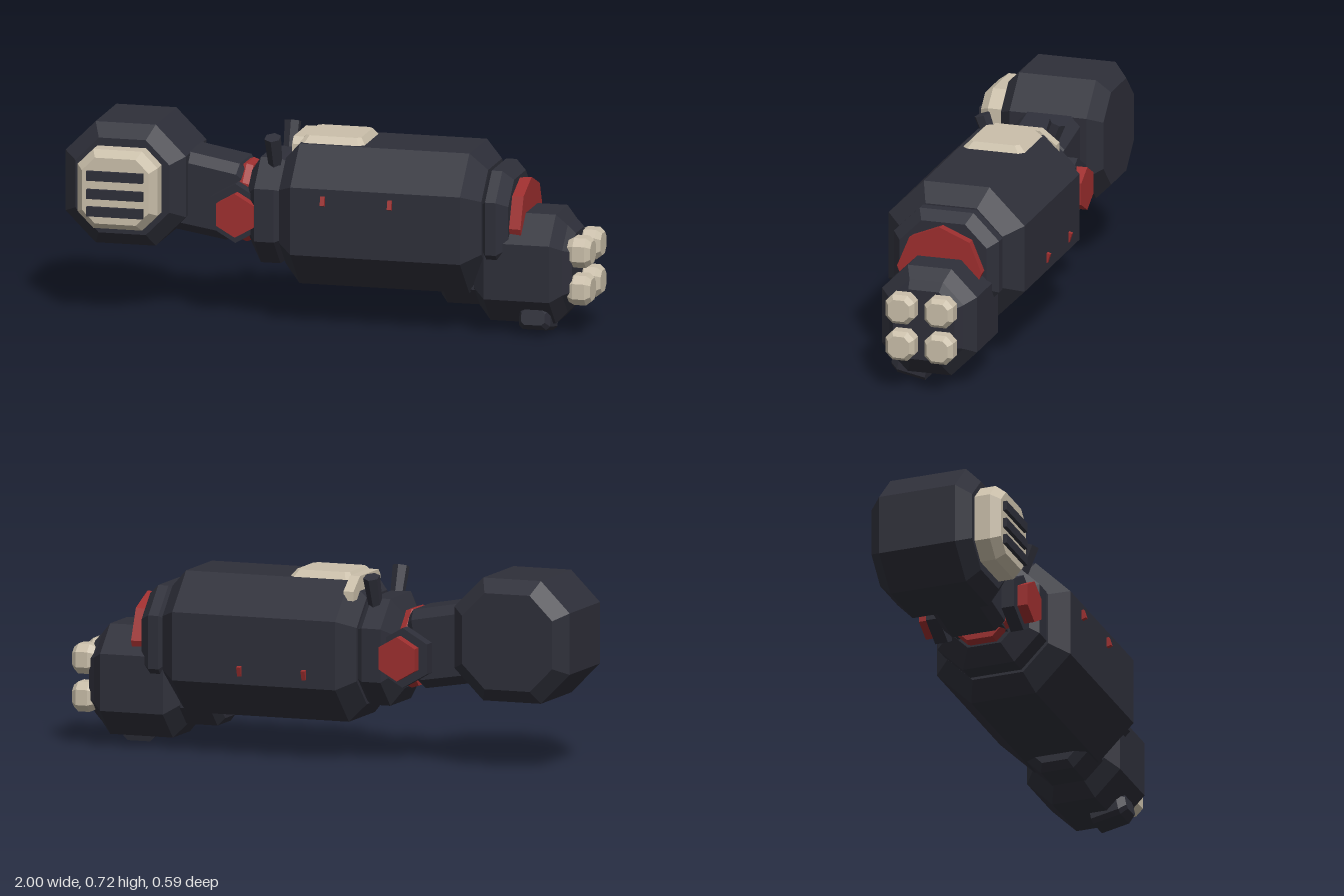
import * as THREE from 'three';

const mat = (name, color) => {
  const m = new THREE.MeshStandardMaterial({ color, flatShading: true });
  m.name = name;
  return m;
};

// Octagonal body along x. Each ring: [x, half height, half depth, corner cut]
function loft(rings) {
  const outline = ([x, h, d, c]) => [
    [x, c - h, -d], [x, h - c, -d], [x, h, c - d], [x, h, d - c],
    [x, h - c, d], [x, c - h, d], [x, -h, d - c], [x, -h, c - d],
  ];
  const loops = rings.map(outline);
  const pos = [];
  const tri = (a, b, c) => pos.push(...a, ...b, ...c);
  for (let r = 0; r < loops.length - 1; r++) {
    const a = loops[r], b = loops[r + 1];
    for (let i = 0; i < 8; i++) {
      const j = (i + 1) % 8;
      tri(a[i], a[j], b[j]);
      tri(a[i], b[j], b[i]);
    }
  }
  const first = loops[0], last = loops[loops.length - 1];
  for (let i = 1; i < 7; i++) {
    tri(last[0], last[i], last[i + 1]);
    tri(first[0], first[i + 1], first[i]);
  }
  const g = new THREE.BufferGeometry();
  g.setAttribute('position', new THREE.Float32BufferAttribute(pos, 3));
  g.computeVertexNormals();
  return g;
}

export function createModel() {
  const dark = mat('dark armour', 0x2e2f39);
  const cream = mat('cream trim', 0xcabfaa);
  const red = mat('red joints', 0x9e2f2f);
  const model = new THREE.Group();
  model.name = 'mechanicalArm';

  const add = (name, geometry, material, x = 0, y = 0, z = 0) => {
    const m = new THREE.Mesh(geometry, material);
    m.name = name;
    m.position.set(x, y, z);
    model.add(m);
    return m;
  };
  const alongZ = (rings) => loft(rings).rotateY(-Math.PI / 2);
  const alongY = (rings) => loft(rings).rotateZ(Math.PI / 2);
  const hex = (r, depth) => new THREE.CylinderGeometry(r, r, depth, 6).rotateX(Math.PI / 2);
  const MID = -0.015;

  // Shoulder block with vent
  add('shoulder', alongZ([
    [-0.2, 0.18, 0.18, 0.09], [-0.15, 0.23, 0.23, 0.115],
    [0.15, 0.23, 0.23, 0.115], [0.2, 0.18, 0.18, 0.09],
  ]), dark, -0.77, 0.485, MID);
  add('shoulderVent', alongZ([
    [0, 0.15, 0.153, 0.06], [0.06, 0.15, 0.153, 0.06], [0.095, 0.125, 0.128, 0.05],
  ]), cream, -0.772, 0.485, 0.185);
  for (const y of [0.542, 0.473, 0.407]) {
    add('ventSlat', new THREE.BoxGeometry(0.215, 0.036, 0.02), dark, -0.772, y, 0.285);
  }

  // Upper arm, sloping slightly down to the elbow
  const upperArm = add('upperArm', loft([
    [-0.12, 0.15, 0.12, 0.035], [0.1, 0.148, 0.12, 0.035], [0.13, 0.12, 0.1, 0.03],
  ]), dark, -0.475, 0.44, -0.02);
  upperArm.rotation.z = -0.17;

  // Elbow
  add('elbowRing', loft([
    [-0.025, 0.14, 0.11, 0.06], [0, 0.148, 0.115, 0.06], [0.025, 0.14, 0.11, 0.06],
  ]), red, -0.332, 0.418, MID);
  add('elbowCore', new THREE.BoxGeometry(0.16, 0.18, 0.2), dark, -0.33, 0.4, -0.02);
  for (const s of [-1, 1]) {
    add('elbowPlate', hex(0.112, 0.05), dark, -0.345, 0.4, -0.02 + s * 0.15);
    add('elbowCap', hex(0.083, 0.045), red, -0.337, 0.4, -0.02 + s * 0.193);
  }

  // Collar between the elbow and the forearm
  add('rearCollar', loft([
    [-0.31, 0.135, 0.135, 0.07], [-0.265, 0.2, 0.202, 0.1],
    [-0.19, 0.2, 0.202, 0.1], [-0.16, 0.18, 0.18, 0.09],
  ]), dark, 0, 0.405, MID);
  for (const s of [-1, 1]) {
    const peg = add('collarPeg', new THREE.CylinderGeometry(0.032, 0.026, 0.13, 6), dark,
      -0.208, 0.63, MID + s * 0.125);
    peg.rotation.x = s * 0.35;
  }

  // Forearm
  add('forearm', loft([
    [-0.17, 0.2, 0.2, 0.1], [-0.11, 0.265, 0.265, 0.137],
    [0.54, 0.265, 0.265, 0.137], [0.605, 0.2, 0.2, 0.1],
  ]), dark, 0, 0.405, MID);
  for (const x of [0.015, 0.272]) {
    const pin = add('forearmPin', new THREE.BoxGeometry(0.016, 0.036, 0.575), red, x, 0.408, -0.013);
    pin.rotation.x = -0.293;
  }

  // Raised plate on the forearm with a clip over its rear edge
  add('topPlate', alongY([
    [-0.05, 0.123, 0.12, 0.02], [0.01, 0.123, 0.12, 0.02], [0.035, 0.105, 0.095, 0.015],
  ]), cream, 0.008, 0.66, -0.02);
  const clip = new THREE.Shape([
    [0.08, 0.61], [0.08, 0.66], [0.06, 0.685], [-0.125, 0.685], [-0.19, 0.635], [-0.19, 0.6],
  ].map(([z, y]) => new THREE.Vector2(-z, y)));
  add('plateClip', new THREE.ExtrudeGeometry(clip, { depth: 0.04, bevelEnabled: false })
    .rotateY(Math.PI / 2), cream, -0.147, 0, 0);

  // Front collar and red wrist
  add('frontCollar', loft([
    [0.595, 0.17, 0.17, 0.09], [0.62, 0.2, 0.205, 0.1],
    [0.66, 0.2, 0.205, 0.1], [0.7, 0.165, 0.17, 0.085],
  ]), dark, 0, 0.405, MID);
  add('wristDisc', new THREE.CylinderGeometry(0.165, 0.155, 0.1, 8).rotateZ(-Math.PI / 2),
    red, 0.695, 0.4, MID);

  // Fist-like muzzle block slung below the wrist
  add('muzzleNeck', loft([
    [0.415, 0.128, 0.11, 0.06], [0.44, 0.155, 0.135, 0.07], [0.65, 0.155, 0.135, 0.07],
  ]), dark, 0, 0.24, MID);
  add('muzzleBlock', loft([
    [0.56, 0.155, 0.14, 0.08], [0.61, 0.207, 0.185, 0.1], [0.86, 0.207, 0.185, 0.1],
    [0.9, 0.165, 0.145, 0.08], [0.93, 0.135, 0.12, 0.06],
  ]), dark, 0, 0.24, MID);
  for (const y of [0.311, 0.169]) {
    for (const z of [0.061, -0.09]) {
      add('muzzle', loft([
        [0.9, 0.04, 0.04, 0.02], [0.935, 0.056, 0.056, 0.027],
        [0.98, 0.056, 0.056, 0.027], [1, 0.041, 0.041, 0.02],
      ]), cream, 0, y, z);
    }
  }

  // Small tilted foot below the muzzle block
  const foot = add('lowerFoot', alongZ([
    [-0.08, 0.045, 0.06, 0.015], [0.03, 0.045, 0.06, 0.015], [0.06, 0.028, 0.045, 0.012],
  ]), dark, 0.79, 0.055, 0.08);
  foot.rotation.x = -0.2;

  return model;
}
